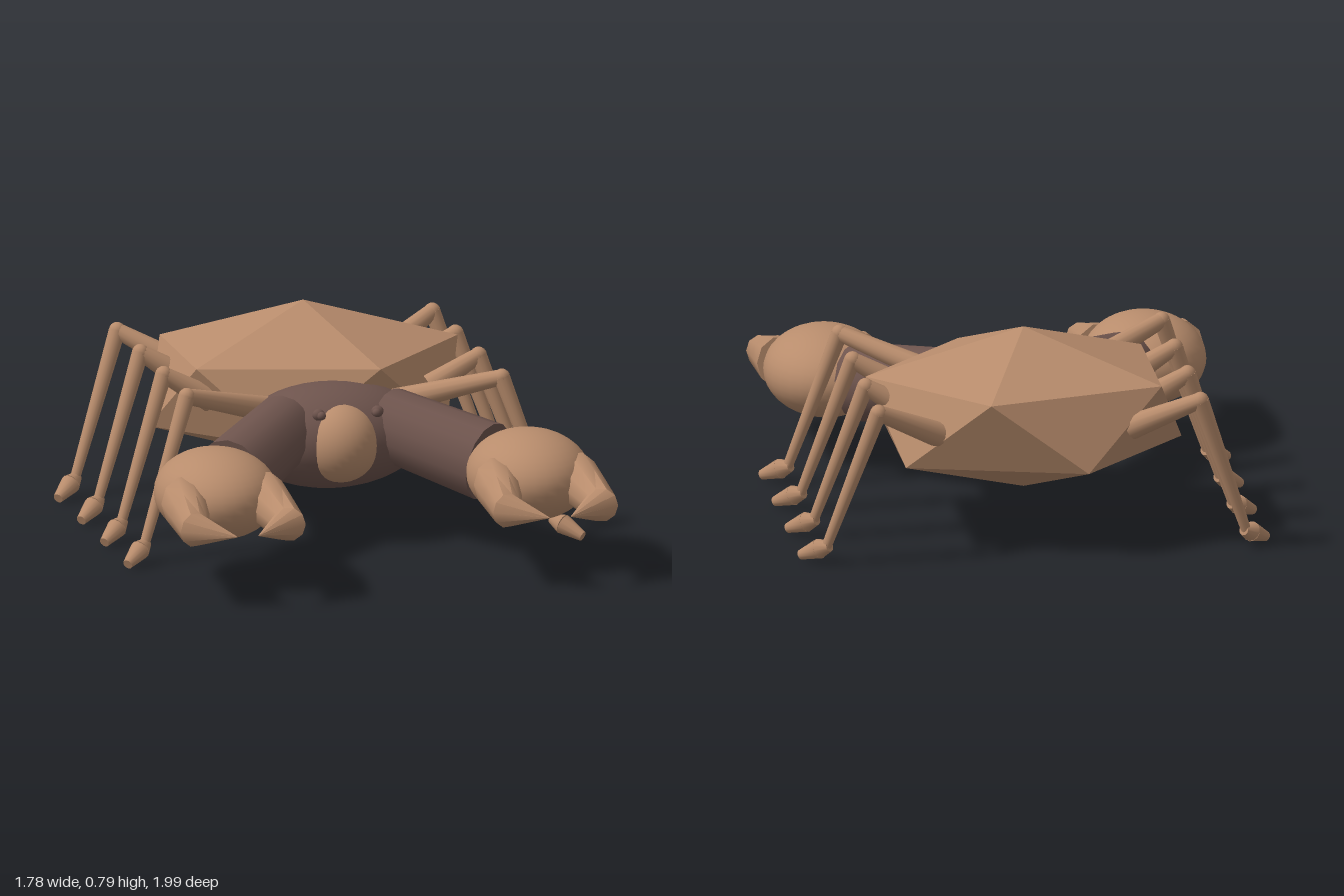
import * as THREE from 'three';
import { toCreasedNormals } from 'three/addons/utils/BufferGeometryUtils.js';
import { ConvexGeometry } from 'three/addons/geometries/ConvexGeometry.js';

const V = (x, y, z) => new THREE.Vector3(x, y, z);

export function createModel() {
  const crab = new THREE.Group();
  crab.name = 'crab';

  const tan = new THREE.MeshStandardMaterial({ color: 0xb88c6c });
  tan.name = 'tan shell';
  const brown = new THREE.MeshStandardMaterial({ color: 0x6e544d });
  brown.name = 'dark brown';

  function add(parent, name, geometry, material) {
    const mesh = new THREE.Mesh(geometry, material);
    mesh.name = name;
    parent.add(mesh);
    return mesh;
  }

  function ellipsoid(parent, name, material, c, r, w = 32, h = 20) {
    const mesh = add(parent, name, new THREE.SphereGeometry(1, w, h), material);
    mesh.position.set(...c);
    mesh.scale.set(...r);
    return mesh;
  }

  // Tapered rod from a to b; stretch flattens or deepens its section vertically
  function rod(parent, name, material, a, b, ra, rb, sides = 12, stretch = 1) {
    const dir = b.clone().sub(a);
    const g = new THREE.CylinderGeometry(rb, ra, dir.length(), sides);
    g.scale(1, 1, stretch);
    const mesh = add(parent, name, g, material);
    const y = dir.normalize();
    const x = V(0, 1, 0).cross(y).normalize();
    const z = x.clone().cross(y);
    mesh.quaternion.setFromRotationMatrix(new THREE.Matrix4().makeBasis(x, y, z));
    mesh.position.copy(a).add(b).multiplyScalar(0.5);
    return mesh;
  }

  // Faceted shell: two staggered five-sided rings between two poles
  const shellPoints = [V(0, 0.795, -0.53), V(0, 0.175, -0.53)];
  for (let i = 0; i < 5; i++) {
    const a = (i * Math.PI * 2) / 5;
    const x = 0.594 * Math.cos(a), z = 0.473 * Math.sin(a);
    shellPoints.push(V(x, 0.624, -0.53 + z), V(-x, 0.346, -0.53 - z));
  }
  add(crab, 'shell', new ConvexGeometry(shellPoints), tan);

  // Chest and head
  ellipsoid(crab, 'chest', brown, [0, 0.385, -0.1], [0.36, 0.2, 0.24]);
  ellipsoid(crab, 'head', tan, [0, 0.385, 0.04], [0.145, 0.15, 0.145]);

  // Pincer finger lofted through rings: [innerX, innerZ, outerX, outerZ, lowY, highY]
  function fingerGeometry(side) {
    const rings = [
      [0.06, 0.63, 0.24, 0.63, 0.24, 0.445],
      [0.09, 0.77, 0.24, 0.77, 0.24, 0.41],
      [0.12, 0.885, 0.24, 0.925, 0.24, 0.37],
      [0.041, 0.992, 0.043, 0.996, 0.289, 0.293],
    ];
    const n = 10, pos = [], index = [];
    for (const [ix, iz, ox, oz, lo, hi] of rings) {
      for (let i = 0; i < n; i++) {
        const a = (i * Math.PI * 2) / n, t = (1 + Math.cos(a)) / 2;
        pos.push(side * (ix + (ox - ix) * t), (lo + hi) / 2 + ((hi - lo) / 2) * Math.sin(a), iz + (oz - iz) * t);
      }
    }
    const tri = (a, b, c) => index.push(...(side > 0 ? [a, b, c] : [a, c, b]));
    for (let r = 0; r < rings.length - 1; r++) {
      for (let i = 0; i < n; i++) {
        const a = r * n + i, b = r * n + ((i + 1) % n);
        tri(a, b, b + n);
        tri(a, b + n, a + n);
      }
    }
    for (let i = 1; i < n - 1; i++) {
      tri(0, i + 1, i);
      tri(3 * n, 3 * n + i, 3 * n + i + 1);
    }
    const g = new THREE.BufferGeometry();
    g.setAttribute('position', new THREE.Float32BufferAttribute(pos, 3));
    g.setIndex(index);
    return toCreasedNormals(g, 0.7);
  }

  for (const s of [1, -1]) {
    const label = s > 0 ? 'left' : 'right';

    // Eye: a ball with a small bump in front
    const eye = new THREE.Group();
    eye.name = label + 'Eye';
    crab.add(eye);
    ellipsoid(eye, 'eyeball', brown, [s * 0.113, 0.523, 0.147], [0.024, 0.022, 0.02], 12, 8);
    ellipsoid(eye, 'eyeBump', brown, [s * 0.106, 0.522, 0.165], [0.017, 0.016, 0.015], 12, 8);

    // Claw arm, palm and two fingers
    const claw = new THREE.Group();
    claw.name = label + 'Claw';
    crab.add(claw);
    rod(claw, 'arm', brown, V(s * 0.2, 0.43, -0.03), V(s * 0.495, 0.348, 0.32), 0.128, 0.14, 14, 1.08);
    ellipsoid(claw, 'palm', tan, [s * 0.6, 0.343, 0.515], [0.23, 0.168, 0.275]);
    for (const f of [1, -1]) {
      const finger = add(claw, f === s ? 'outerFinger' : 'innerFinger', fingerGeometry(f), tan);
      finger.position.x = s * 0.6;
    }

    // Four walking legs: [hipX, hipY, hipZ]; knees and feet are evenly spaced
    const hips = [[0.25, 0.49, -0.12], [0.42, 0.5, -0.265], [0.46, 0.52, -0.6], [0.36, 0.48, -0.84]];
    hips.forEach(([hx, hy, hz], i) => {
      const leg = new THREE.Group();
      leg.name = `${label}Leg${i + 1}`;
      crab.add(leg);
      const z = -0.35 * i;
      const knee = V(s * 0.605, 0.61, 0.09 + z);
      const ankle = V(s * 0.79, 0.07, 0.175 + z);
      const toe = V(s * 0.874, 0.022, 0.255 + z);
      const heel = V(s * 0.778, 0.077, 0.163 + z);
      const ball = V(s * 0.812, 0.06, 0.198 + z);
      rod(leg, 'upperLeg', tan, V(s * hx, hy, hz), knee, 0.048, 0.03);
      ellipsoid(leg, 'knee', tan, knee.toArray(), [0.032, 0.032, 0.032], 12, 8);
      rod(leg, 'lowerLeg', tan, knee, ankle, 0.032, 0.019);
      rod(leg, 'heel', tan, heel, ball, 0.02, 0.038);
      rod(leg, 'foot', tan, ball, toe, 0.038, 0.019);
    });
  }

  return crab;
}
